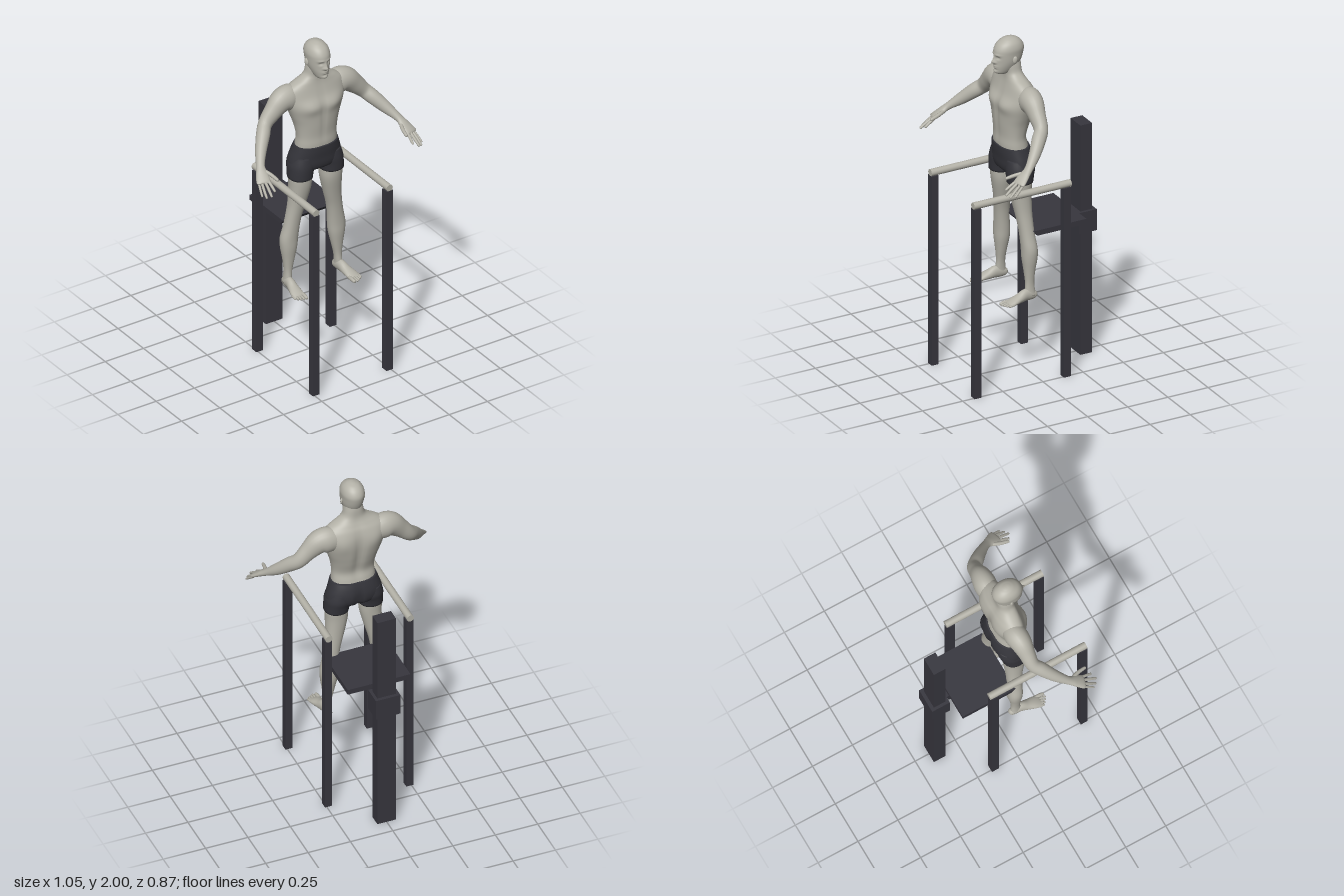
import * as THREE from 'three';

const mat = (name, color, extra = {}) => {
  const m = new THREE.MeshStandardMaterial({ color, ...extra });
  m.name = name;
  return m;
};

// Smooth interpolation through rows of numbers
function smoothRows(rows, steps) {
  const out = [];
  const n = rows.length;
  for (let i = 0; i < n - 1; i++) {
    const [a, b, c, d] = [rows[Math.max(i - 1, 0)], rows[i], rows[i + 1], rows[Math.min(i + 2, n - 1)]];
    for (let k = 0; k < steps; k++) {
      const t = k / steps;
      out.push(b.map((v, j) => v + 0.5 * t * (c[j] - a[j]
        + t * (2 * a[j] - 5 * v + 4 * c[j] - d[j] + t * (3 * (v - c[j]) + d[j] - a[j])))));
    }
  }
  out.push(rows[n - 1]);
  return out;
}

// Closed skin over a list of rings, with faces turned outward
function loft(rings) {
  const m = rings[0].length, pts = rings.flat(), idx = [];
  for (let i = 0; i < rings.length - 1; i++) {
    for (let j = 0; j < m; j++) {
      const a = i * m + j, b = i * m + (j + 1) % m;
      idx.push(a, b, a + m, b, b + m, a + m);
    }
  }
  [0, rings.length - 1].forEach((r, end) => {
    const c = new THREE.Vector3();
    rings[r].forEach(p => c.addScaledVector(p, 1 / m));
    const ci = pts.push(c) - 1;
    for (let j = 0; j < m; j++) {
      const a = r * m + j, b = r * m + (j + 1) % m;
      idx.push(ci, end ? a : b, end ? b : a);
    }
  });
  let volume = 0;
  const q = new THREE.Vector3(), o = pts[0];
  const rel = i => pts[i].clone().sub(o);
  for (let i = 0; i < idx.length; i += 3) volume += rel(idx[i]).dot(q.crossVectors(rel(idx[i + 1]), rel(idx[i + 2])));
  if (volume < 0) idx.reverse();
  const g = new THREE.BufferGeometry().setFromPoints(pts);
  g.setIndex(idx);
  g.computeVertexNormals();
  return g;
}

// Upright form: rows of [y, centre x, front z, back z, half width]
function upright(rows, { sides = 32, steps = 4, power = 2.2, sculpt } = {}) {
  return loft(smoothRows(rows, steps).map(([y, cx, zf, zb, rx]) =>
    Array.from({ length: sides }, (_, j) => {
      const a = j / sides * Math.PI * 2, c = Math.cos(a), s = Math.sin(a);
      const bend = v => Math.sign(v) * Math.abs(v) ** (2 / power);
      const p = new THREE.Vector3(cx + rx * bend(c), y, (zf + zb) / 2 + (zf - zb) / 2 * bend(s));
      if (sculpt) p.z += sculpt(p.x, y, s);
      return p;
    })));
}

// Limb along a path: rows of [x, y, z, upward radius, sideways radius]
function limb(rows, side, sides = 16, steps = 4) {
  const r = smoothRows(rows.map(([x, ...rest]) => [x * side, ...rest]), steps);
  const at = i => new THREE.Vector3(...r[Math.min(Math.max(i, 0), r.length - 1)].slice(0, 3));
  return loft(r.map((row, i) => {
    const t = at(i + 1).sub(at(i - 1)).normalize();
    const u = new THREE.Vector3(0, 1, 0).addScaledVector(t, -t.y).normalize();
    const v = new THREE.Vector3().crossVectors(t, u);
    return Array.from({ length: sides }, (_, j) => {
      const a = j / sides * Math.PI * 2;
      return at(i).addScaledVector(u, row[3] * Math.cos(a)).addScaledVector(v, row[4] * Math.sin(a));
    });
  }));
}

// Finger or toe with a rounded tip
function digit(a, b, c, r, side) {
  const end = c.map((v, i) => b[i] + (v - b[i]) * 0.88);
  return limb([[...a, r, r], [...b, r, r], [...end, r * 0.8, r * 0.8], [...c, r * 0.3, r * 0.3]], side, 8, 3);
}

const bump = (x, y, cx, cy, wx, wy) => Math.exp(-(((x - cx) / wx) ** 2) - ((y - cy) / wy) ** 2);

export function createModel() {
  const root = new THREE.Group();
  const skin = mat('skin', 0xb4b2a8);
  const cloth = mat('shorts cloth', 0x34343a);
  const metal = mat('dark frame', 0x37363e);
  const railMat = mat('rail grey', 0xb4b2a8);
  const add = (name, geometry, material, parent = root) => {
    const m = new THREE.Mesh(geometry, material);
    m.name = name;
    parent.add(m);
    return m;
  };
  const box = (name, w, h, d, x, y, z, parent) => {
    const m = add(name, new THREE.BoxGeometry(w, h, d), metal, parent);
    m.position.set(x, y, z);
    return m;
  };

  // Parallel bars
  const bars = new THREE.Group();
  bars.name = 'parallelBars';
  root.add(bars);
  for (const s of [-1, 1]) {
    for (const z of [0.41, -0.146]) box('post', 0.042, 1.14, 0.042, s * 0.24, 0.57, z, bars);
    const rail = add('handRail', new THREE.CylinderGeometry(0.0205, 0.0205, 0.605, 24), railMat, bars);
    rail.rotation.x = Math.PI / 2;
    rail.position.set(s * 0.24, 1.157, 0.128);
  }

  // Column with sliding seat
  const lift = new THREE.Group();
  lift.name = 'seatLift';
  root.add(lift);
  box('column', 0.11, 1.385, 0.072, 0, 0.6925, -0.378, lift);
  box('collar', 0.144, 0.127, 0.11, 0, 0.803, -0.379, lift);
  box('bracket', 0.054, 0.035, 0.07, 0, 0.82, -0.297, lift);
  const seat = box('seat', 0.37, 0.031, 0.33, 0, 0.87, -0.142, lift).geometry;
  const sp = seat.attributes.position;
  for (let i = 0; i < sp.count; i++) if (sp.getZ(i) > 0 && sp.getY(i) < 0) sp.setZ(i, sp.getZ(i) - 0.025);
  seat.computeVertexNormals();

  const man = new THREE.Group();
  man.name = 'figure';
  root.add(man);

  // Torso and neck, with chest, navel line and spine modelled in
  add('torso', upright([
    [1.34, 0, 0.14, -0.02, 0.127], [1.38, 0, 0.143, -0.012, 0.124], [1.43, 0, 0.141, -0.003, 0.122],
    [1.5, 0, 0.146, -0.022, 0.134], [1.56, 0, 0.148, -0.036, 0.154], [1.62, 0, 0.146, -0.043, 0.175],
    [1.675, 0, 0.128, -0.04, 0.19], [1.72, 0, 0.115, -0.028, 0.18], [1.75, 0, 0.108, -0.012, 0.14],
    [1.775, 0, 0.105, 0, 0.092], [1.8, 0, 0.106, 0.006, 0.064], [1.84, 0, 0.115, 0.008, 0.054],
    [1.87, 0, 0.115, 0.012, 0.048],
  ], {
    sides: 64, steps: 5, power: 2.25,
    sculpt: (x, y, s) => s > 0
      ? s * (0.014 * bump(Math.abs(x), y, 0.075, 1.62, 0.06, 0.04) - 0.006 * bump(x, y, 0, 1.56, 0.014, 0.15))
      : -s * (0.016 * bump(x, y, 0, 1.56, 0.025, 0.15) - 0.01 * bump(Math.abs(x), y, 0.1, 1.65, 0.05, 0.06)),
  }), skin, man);

  // Head with brow, sockets, nose and lips
  add('head', upright([
    [1.79, 0, 0.14, 0.08, 0.02], [1.803, 0, 0.159, 0.05, 0.034], [1.835, 0, 0.163, 0.02, 0.049],
    [1.87, 0, 0.162, 0.002, 0.059], [1.91, 0, 0.164, -0.01, 0.063], [1.94, 0, 0.159, -0.012, 0.064],
    [1.968, 0, 0.142, 0.001, 0.055], [1.988, 0, 0.115, 0.024, 0.037], [1.997, 0, 0.094, 0.048, 0.018],
    [2, 0, 0.08, 0.064, 0.005],
  ], {
    sides: 72, steps: 8, power: 2.1,
    sculpt: (x, y, s) => s <= 0 ? 0 : s * (
      0.02 * bump(x, y, 0, 1.868, 0.009, 0.011) + 0.01 * bump(x, y, 0, 1.886, 0.007, 0.016)
      + 0.006 * bump(Math.abs(x), y, 0.012, 1.865, 0.007, 0.006)
      - 0.01 * bump(Math.abs(x), y, 0.024, 1.895, 0.013, 0.009)
      + 0.004 * bump(Math.abs(x), y, 0.025, 1.912, 0.02, 0.006)
      + 0.005 * bump(x, y, 0, 1.843, 0.018, 0.004) + 0.005 * bump(x, y, 0, 1.832, 0.015, 0.004)
      - 0.004 * bump(x, y, 0, 1.823, 0.02, 0.005) + 0.005 * bump(x, y, 0, 1.808, 0.018, 0.008)),
  }), skin, man);

  // Shorts: hips here, one leg per side below
  add('shortsHips', upright([
    [1.365, 0, 0.148, -0.022, 0.131], [1.33, 0, 0.147, -0.034, 0.143], [1.29, 0, 0.143, -0.041, 0.156],
    [1.25, 0, 0.14, -0.037, 0.162], [1.22, 0, 0.13, -0.022, 0.145], [1.205, 0, 0.105, 0.01, 0.1],
  ], { sides: 48, power: 2.3, sculpt: (x, y, s) => s < 0 ? -s * 0.016 * bump(x, y, 0, 1.26, 0.016, 0.06) : 0 }), cloth, man);

  for (const s of [-1, 1]) {
    const ear = add('ear', new THREE.SphereGeometry(1, 16, 12), skin, man);
    ear.scale.set(0.007, 0.021, 0.013);
    ear.position.set(s * 0.064, 1.883, 0.07);
    ear.rotation.set(-0.2, s * -0.35, 0);

    add('shortsLeg', upright([
      [1.3, s * 0.08, 0.132, -0.026, 0.068], [1.25, s * 0.088, 0.137, -0.03, 0.077],
      [1.21, s * 0.097, 0.136, -0.02, 0.071], [1.165, s * 0.101, 0.133, -0.011, 0.068],
    ]), cloth, man);

    // Leg from thigh to ankle
    add('leg', upright([
      [1.22, 0.1, 0.126, -0.01, 0.062], [1.16, 0.1, 0.126, -0.006, 0.064], [1.1, 0.101, 0.12, -0.002, 0.061],
      [1.0, 0.115, 0.1, 0.002, 0.051], [0.92, 0.131, 0.087, 0.002, 0.046], [0.85, 0.143, 0.08, -0.002, 0.047],
      [0.78, 0.154, 0.076, -0.01, 0.052], [0.72, 0.156, 0.074, -0.01, 0.048], [0.65, 0.158, 0.066, 0.002, 0.035],
      [0.58, 0.162, 0.06, 0.009, 0.023], [0.53, 0.165, 0.063, 0.005, 0.021], [0.5, 0.167, 0.066, 0, 0.023],
    ].map(([y, x, ...r]) => [y, x * s, ...r]), { sides: 24 }), skin, man);

    // Foot and toes
    add('foot', limb([
      [0.165, 0.492, -0.006, 0.01, 0.01], [0.165, 0.495, 0.004, 0.022, 0.019], [0.166, 0.502, 0.03, 0.032, 0.023],
      [0.168, 0.506, 0.065, 0.035, 0.025], [0.173, 0.496, 0.105, 0.026, 0.03], [0.179, 0.488, 0.145, 0.018, 0.036],
      [0.182, 0.482, 0.172, 0.011, 0.035], [0.182, 0.481, 0.182, 0.006, 0.03],
    ], s, 20), skin, man);
    for (let i = 0; i < 5; i++) {
      const x = [0.155, 0.173, 0.187, 0.2, 0.212][i], tip = [0.216, 0.217, 0.21, 0.201, 0.19][i];
      add('toe', digit([x, 0.484, 0.155], [x, 0.483, tip - 0.025], [x + 0.002, 0.479, tip], i ? 0.007 : 0.011, s), skin, man);
    }

    // Shoulder, arm and palm
    add('arm', limb([
      [0.09, 1.665, 0.03, 0.06, 0.05], [0.16, 1.674, 0.035, 0.076, 0.064], [0.212, 1.667, 0.04, 0.07, 0.06],
      [0.268, 1.62, 0.045, 0.054, 0.047], [0.322, 1.565, 0.052, 0.043, 0.039], [0.36, 1.525, 0.088, 0.041, 0.039],
      [0.41, 1.468, 0.142, 0.033, 0.032], [0.452, 1.418, 0.2, 0.02, 0.024], [0.466, 1.39, 0.237, 0.017, 0.033],
      [0.481, 1.362, 0.274, 0.013, 0.039], [0.485, 1.354, 0.285, 0.007, 0.034],
    ], s, 24, 5), skin, man);

    // Fingers and thumb
    const fingers = [
      [[0.456, 1.37, 0.27], [0.453, 1.346, 0.31], [0.451, 1.322, 0.345]],
      [[0.473, 1.366, 0.272], [0.477, 1.336, 0.318], [0.482, 1.306, 0.36]],
      [[0.49, 1.362, 0.268], [0.499, 1.33, 0.308], [0.505, 1.297, 0.346]],
      [[0.503, 1.358, 0.26], [0.513, 1.33, 0.293], [0.521, 1.302, 0.324]],
      [[0.452, 1.4, 0.218], [0.431, 1.388, 0.27], [0.42, 1.375, 0.328]],
    ];
    fingers.forEach((f, i) => add(i < 4 ? 'finger' : 'thumb', digit(...f, [0.0085, 0.0085, 0.008, 0.007, 0.011][i], s), skin, man));
  }
  return root;
}
